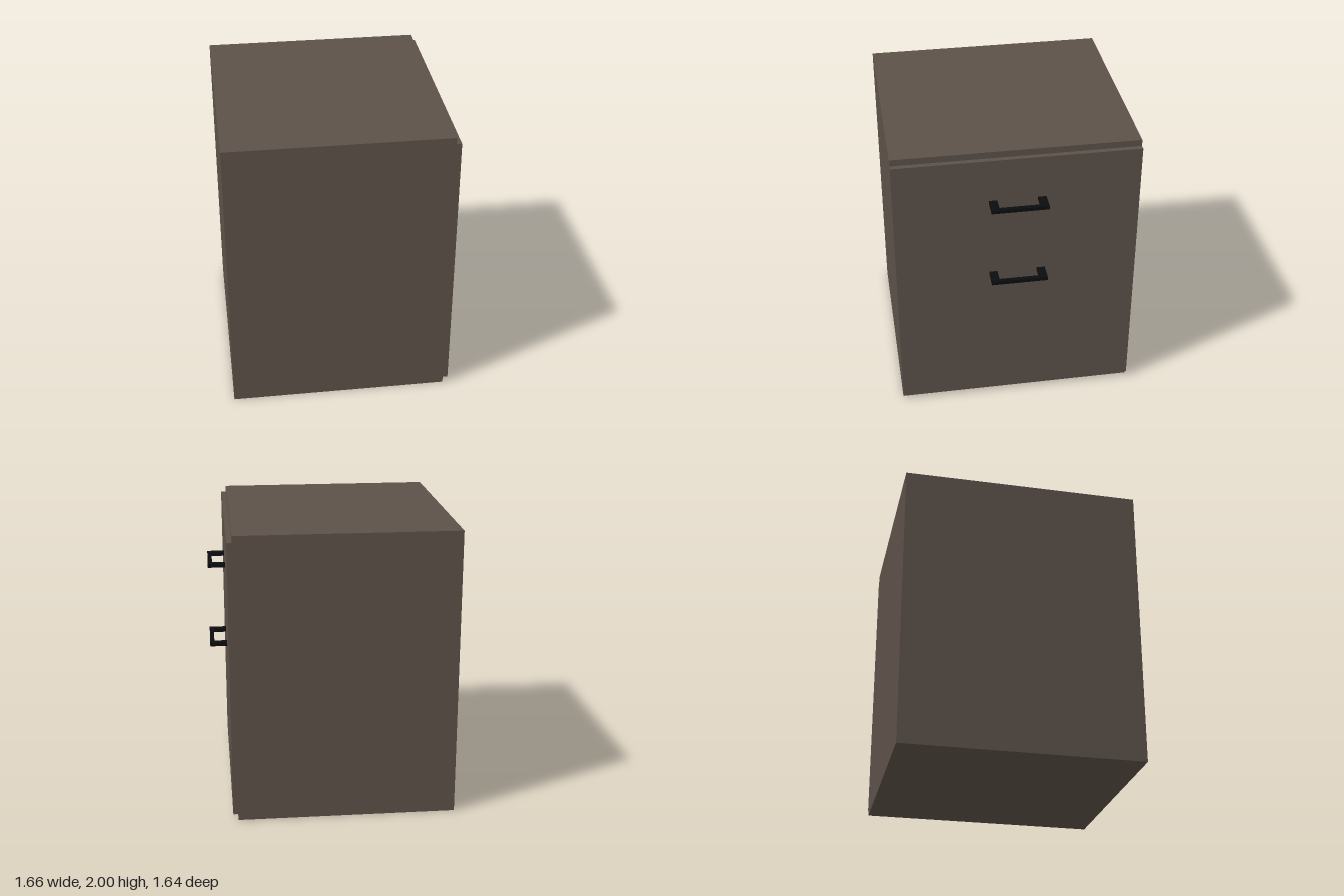
import * as THREE from 'three';

const wood = new THREE.MeshStandardMaterial({ name: 'brownWood', color: 0x5c5148 });
const black = new THREE.MeshStandardMaterial({ name: 'blackMetal', color: 0x0b0c0d });

// Box given by its lower and upper corners
function box(name, material, [x0, y0, z0], [x1, y1, z1]) {
  const mesh = new THREE.Mesh(new THREE.BoxGeometry(x1 - x0, y1 - y0, z1 - z0), material);
  mesh.position.set((x0 + x1) / 2, (y0 + y1) / 2, (z0 + z1) / 2);
  mesh.name = name;
  return mesh;
}

// Flat U-shaped pull, extruded upwards from its plan outline
function handle(name, y) {
  const outline = new THREE.Shape([
    [0.71, -0.19], [0.83, -0.19], [0.83, 0.19], [0.71, 0.19],
    [0.71, 0.135], [0.80, 0.135], [0.80, -0.135], [0.71, -0.135],
  ].map(([x, z]) => new THREE.Vector2(x, z)));
  const height = 0.025;
  const geometry = new THREE.ExtrudeGeometry(outline, { depth: height, bevelEnabled: false });
  geometry.rotateX(-Math.PI / 2);
  const mesh = new THREE.Mesh(geometry, black);
  mesh.position.y = y - height / 2;
  mesh.name = name;
  return mesh;
}

export function createModel() {
  const cabinet = new THREE.Group();
  cabinet.name = 'cabinet';
  cabinet.add(
    // Carcass and the slightly shorter front panel on its +x side
    box('carcass', wood, [-0.83, 0, -0.82], [0.675, 2, 0.82]),
    box('frontPanel', wood, [0.675, 0.045, -0.82], [0.71, 1.955, 0.82]),
    // Drawer pulls
    handle('upperHandle', 1.64),
    handle('lowerHandle', 1.065),
  );
  return cabinet;
}
